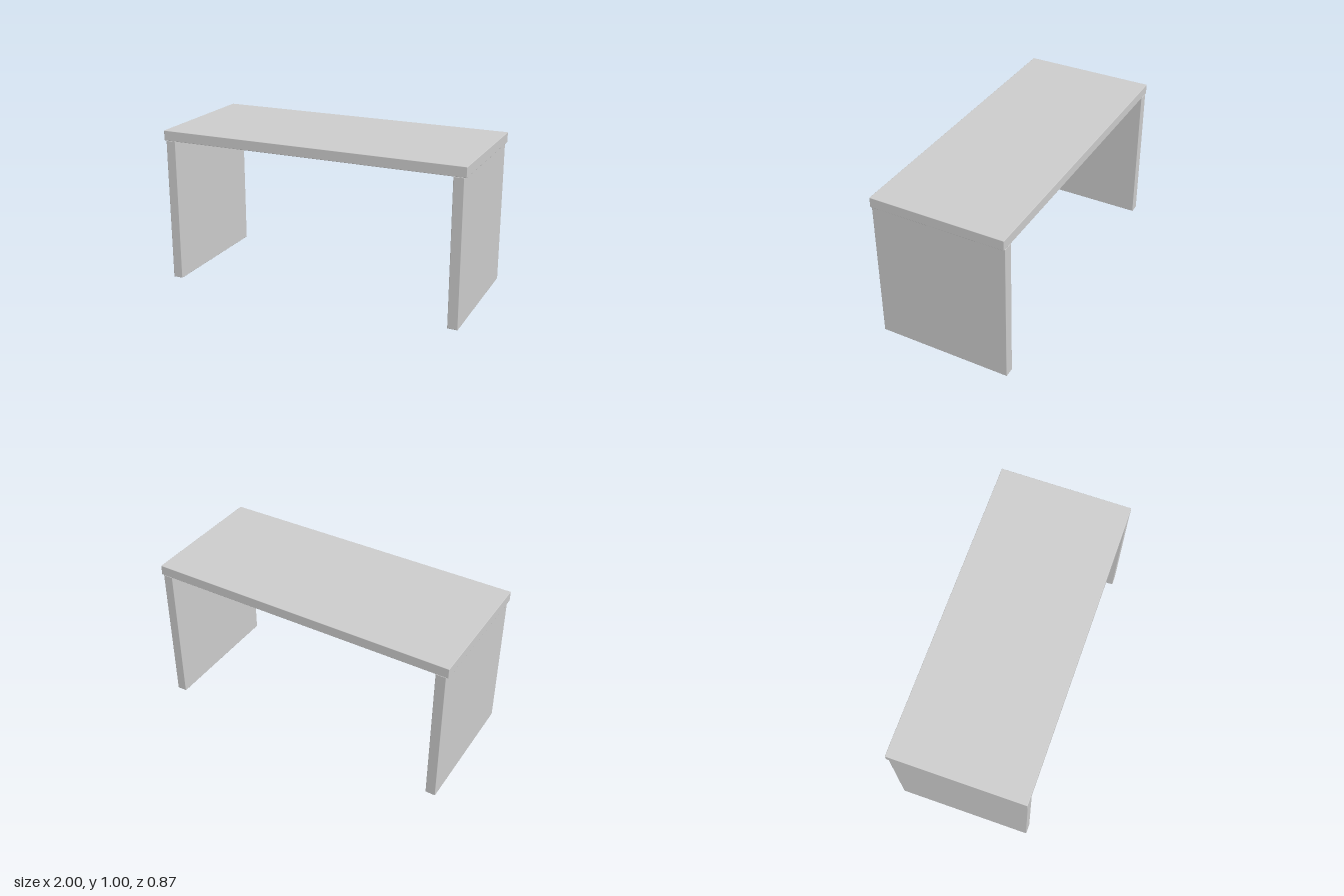
import * as THREE from 'three';
import { RoundedBoxGeometry } from 'three/addons/geometries/RoundedBoxGeometry.js';

const DEPTH = 0.865, THICK = 0.065, BEVEL = 0.003;

export function createModel() {
  const group = new THREE.Group();
  const material = new THREE.MeshStandardMaterial({ color: 0xcccccc });

  // Board with finely eased edges
  const addBoard = (name, width, height, x, y) => {
    const geometry = new RoundedBoxGeometry(width, height, DEPTH, 2, BEVEL);
    const board = new THREE.Mesh(geometry, material);
    board.name = name;
    board.position.set(x, y, 0);
    group.add(board);
  };

  // Table top
  addBoard('tableTop', 2, THICK, 0, 1 - THICK / 2);

  // Side panels, set in slightly from the ends of the top
  const legHeight = 1 - THICK;
  for (const [name, side] of [['leftPanel', 1], ['rightPanel', -1]]) {
    addBoard(name, THICK, legHeight, side * 0.953, legHeight / 2);
  }

  return group;
}
